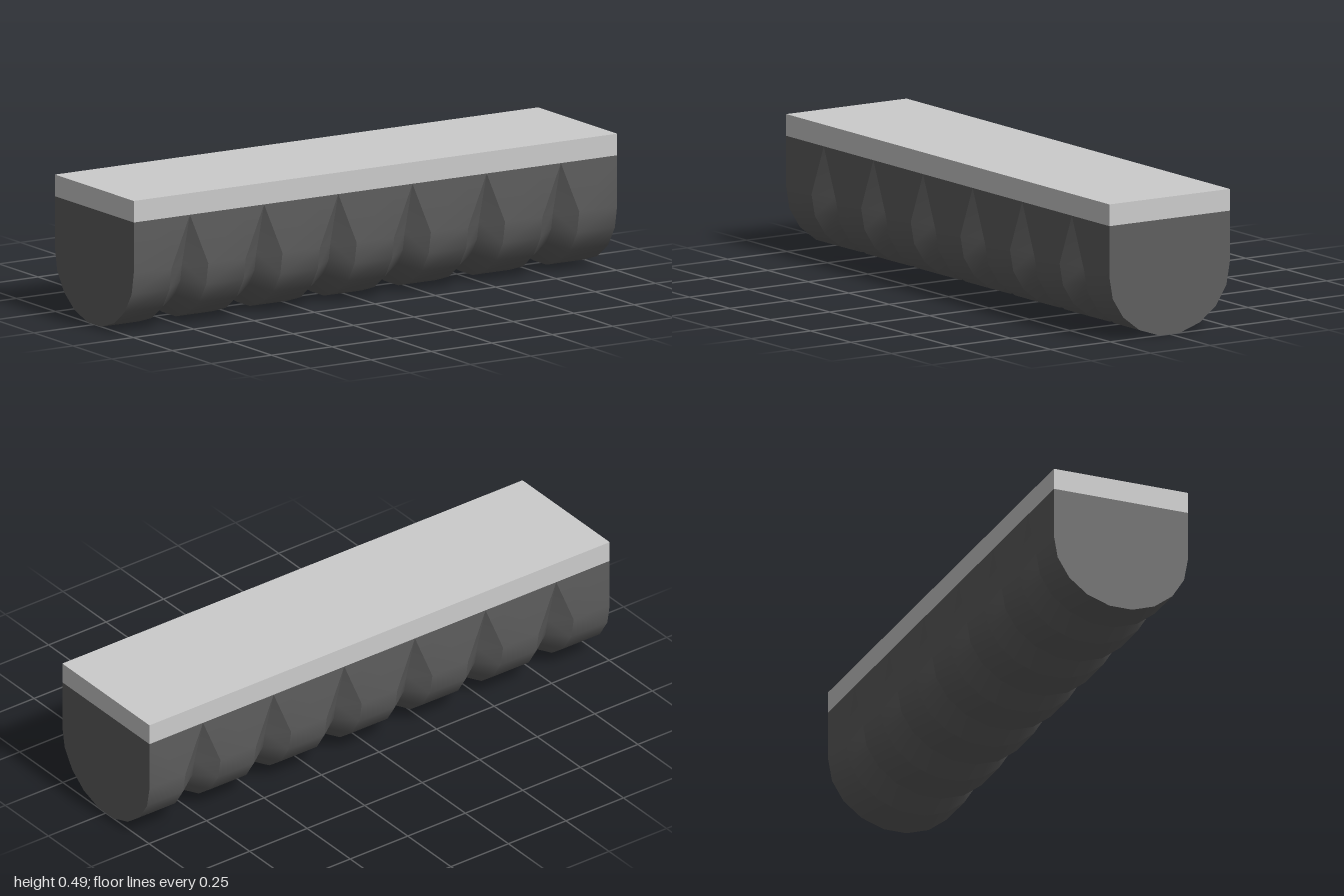
import * as THREE from 'three';
import { toCreasedNormals } from 'three/addons/utils/BufferGeometryUtils.js';

const HALF_WIDTH = 0.253;
const TOP = 0.41; // underside of the slab
const SPRING = 0.228; // height where the rounded belly begins

// Half cross-section of the belly, from the upper edge down: [z, y]
const HALF_PROFILE = [
  [HALF_WIDTH, TOP], [HALF_WIDTH, SPRING], [0.239, 0.15],
  [0.195, 0.08], [0.127, 0.028], [0.043, 0],
];

// Full section; the belly shrinks about its centre, the upper edge stays put
function section(scale) {
  const half = HALF_PROFILE.map(([z, y], i) =>
    i === 0 ? [z, y] : [z * scale, SPRING + (y - SPRING) * scale]);
  return [...half, ...half.map(([z, y]) => [-z, y]).reverse()];
}

function bellyGeometry() {
  // Rings along x: full sections with a pinched one in the middle of each groove
  const rings = [{ x: -1, scale: 1 }];
  for (let g = 0; g < 6; g++) {
    const x = (g - 2.5) * 0.307;
    rings.push({ x: x - 0.076, scale: 1 }, { x, scale: 0.8 }, { x: x + 0.076, scale: 1 });
  }
  rings.push({ x: 1, scale: 1 });

  const n = HALF_PROFILE.length * 2;
  const positions = [];
  const index = [];
  for (const { x, scale } of rings) {
    for (const [z, y] of section(scale)) positions.push(x, y, z);
  }

  // Skin; diagonals run from the groove tip at the slab down to the groove rim
  for (let i = 0; i < rings.length - 1; i++) {
    for (let j = 0; j < n - 1; j++) {
      const a = i * n + j, b = a + 1, d = a + n, c = d + 1;
      const pinched = rings[i].scale < 1;
      const backHalf = j >= n / 2;
      if (pinched !== backHalf) index.push(a, b, c, a, c, d);
      else index.push(a, b, d, b, c, d);
    }
  }

  // Flat end caps
  const last = (rings.length - 1) * n;
  for (let j = 1; j < n - 1; j++) {
    index.push(0, j + 1, j, last, last + j, last + j + 1);
  }

  const geometry = new THREE.BufferGeometry();
  geometry.setAttribute('position', new THREE.Float32BufferAttribute(positions, 3));
  geometry.setIndex(index);
  return toCreasedNormals(geometry, 0.48);
}

export function createModel() {
  const group = new THREE.Group();
  group.name = 'groovedBeam';

  // Flat slab on top
  const slabHeight = 0.077;
  const slab = new THREE.Mesh(
    new THREE.BoxGeometry(2, slabHeight, HALF_WIDTH * 2),
    new THREE.MeshStandardMaterial({ color: 0xcccccc }));
  slab.name = 'topSlab';
  slab.position.y = TOP + slabHeight / 2;

  // Dark rounded belly with six grooves
  const belly = new THREE.Mesh(
    bellyGeometry(), new THREE.MeshStandardMaterial({ color: 0x5e5e5e }));
  belly.name = 'groovedBelly';

  group.add(slab, belly);
  return group;
}
